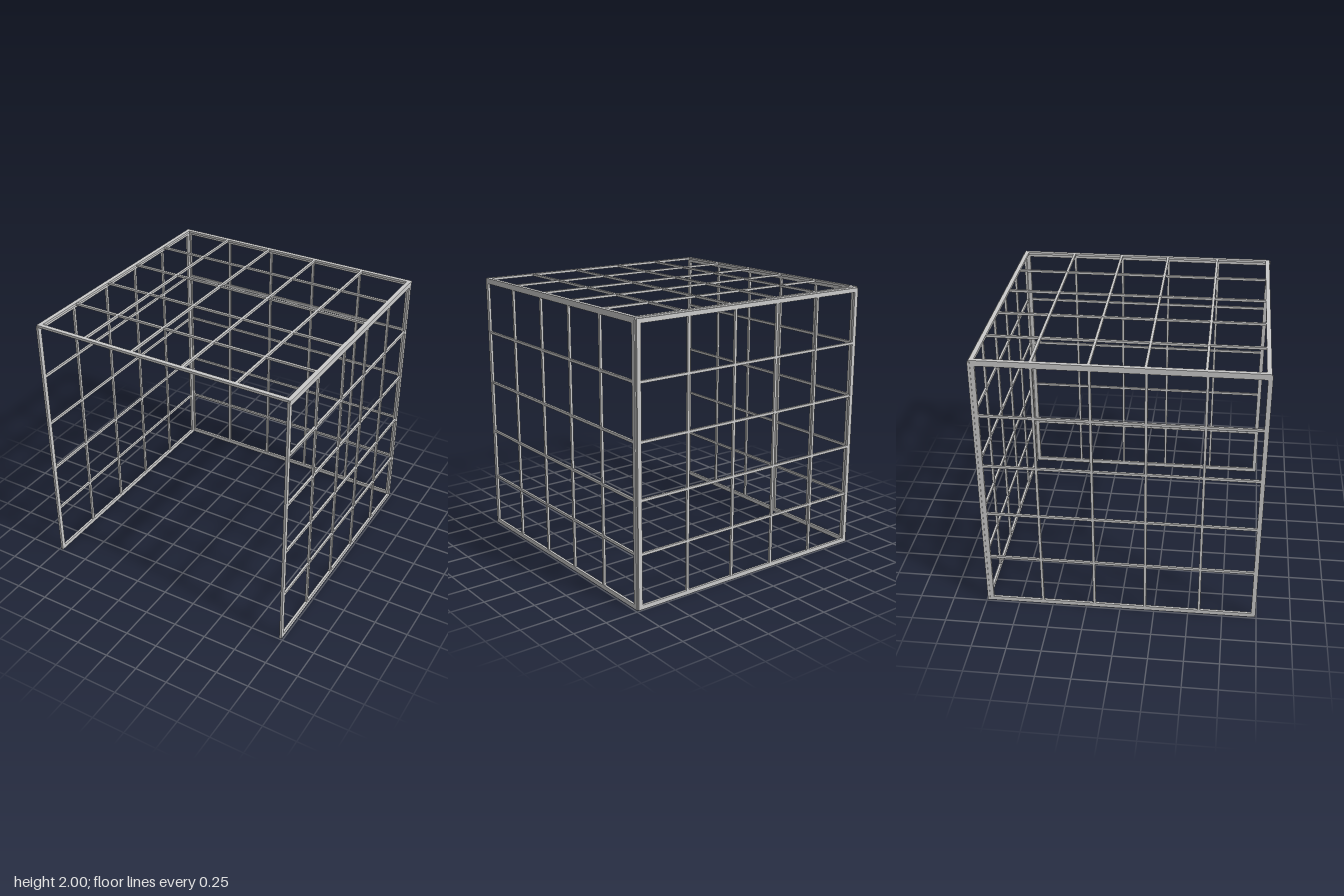
import * as THREE from 'three';

const material = new THREE.MeshStandardMaterial({ color: 0xcccccc, flatShading: true });
const FRAME = 0.032; // width of the border bars
const BAR = 0.019;   // width of the inner bars
const DEPTH = 0.018; // thickness of a panel

// A bar lying in the local xy plane, given by its two corners
function bar(name, x0, y0, x1, y1, depth) {
  const mesh = new THREE.Mesh(new THREE.BoxGeometry(x1 - x0, y1 - y0, depth), material);
  mesh.position.set((x0 + x1) / 2, (y0 + y1) / 2, 0);
  mesh.name = name;
  return mesh;
}

// A framed grid panel from (x0, y0) to (x1, y1) with inner bars at xs and ys
function gridPanel(name, [x0, x1], [y0, y1], xs, ys) {
  const panel = new THREE.Group();
  panel.name = name;
  for (const x of [x0, x1 - FRAME]) panel.add(bar('frameUpright', x, y0, x + FRAME, y1, DEPTH));
  for (const y of [y0, y1 - FRAME])
    panel.add(bar('frameRail', x0 + FRAME, y, x1 - FRAME, y + FRAME, DEPTH));
  for (const x of xs)
    panel.add(bar('uprightBar', x - BAR / 2, y0 + FRAME, x + BAR / 2, y1 - FRAME, DEPTH * 0.95));
  for (const y of ys)
    panel.add(bar('crossBar', x0 + FRAME, y - BAR / 2, x1 - FRAME, y + BAR / 2, DEPTH * 0.9));
  return panel;
}

export function createModel() {
  const model = new THREE.Group();
  model.name = 'openGridCube';
  const heights = [0.4, 0.78, 1.18, 1.58];
  const wallTop = 1.99;

  // Back wall
  const back = gridPanel('backPanel', [-0.993, 0.981], [0, wallTop], [-0.59, -0.205, 0.168, 0.565], heights);
  back.position.z = -0.984;
  model.add(back);

  // Side walls: local x becomes -z
  for (const [name, x] of [['leftPanel', 0.98], ['rightPanel', -0.98]]) {
    const side = gridPanel(name, [-0.993, 0.978], [0, wallTop], [-0.58, -0.183, 0.19, 0.575], heights);
    side.rotation.y = Math.PI / 2;
    side.position.x = x;
    model.add(side);
  }

  // Roof: local y becomes -z
  const roof = gridPanel('roofPanel', [-0.99, 0.99], [-0.985, 0.985],
    [-0.594, -0.214, 0.189, 0.589], [-0.57, -0.177, 0.197, 0.58]);
  roof.rotation.x = -Math.PI / 2;
  roof.position.y = 2 - DEPTH / 2;
  model.add(roof);

  return model;
}
